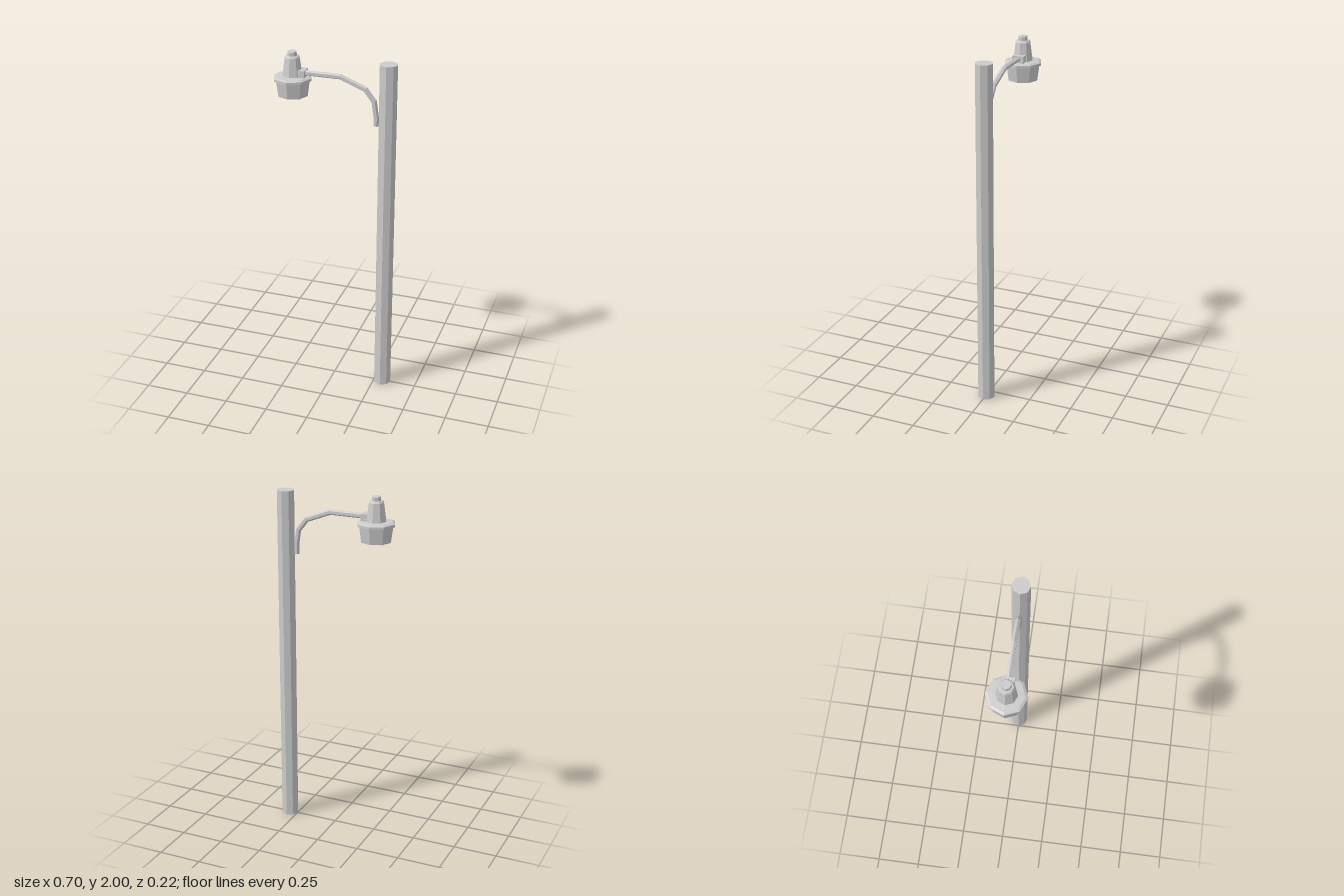
import * as THREE from 'three';

const material = new THREE.MeshStandardMaterial({ color: 0xcccccc, flatShading: true, side: THREE.DoubleSide });
const SIDES = 8;
const LAMP_X = -0.241;

function addMesh(parent, name, geometry, x = 0, y = 0) {
  const mesh = new THREE.Mesh(geometry, material);
  mesh.name = name;
  mesh.position.set(x, y, 0);
  parent.add(mesh);
}

// Eight-sided turned part from [radius, height] pairs, bottom to top
function turned(profile) {
  return new THREE.LatheGeometry(profile.map(([r, y]) => new THREE.Vector2(r, y)), SIDES);
}

// Mitred polygonal bar along a path in the xy plane, with flat ends
function bar(path, radius, sides) {
  const points = path.map(([x, y]) => new THREE.Vector2(x, y));
  const last = points.length - 1;
  const positions = [];
  const index = [];
  points.forEach((p, i) => {
    const before = points[Math.max(i, 1)].clone().sub(points[Math.max(i, 1) - 1]).normalize();
    const k = Math.min(i, last - 1);
    const after = points[k + 1].clone().sub(points[k]).normalize();
    const t = before.clone().add(after).normalize();
    const stretch = radius / t.dot(after);
    for (let j = 0; j < sides; j++) {
      const a = (j / sides) * Math.PI * 2;
      const c = Math.cos(a) * stretch;
      positions.push(p.x - t.y * c, p.y + t.x * c, Math.sin(a) * radius);
      if (i < last) {
        const q = i * sides + j;
        const r = i * sides + ((j + 1) % sides);
        index.push(q, r, r + sides, q, r + sides, q + sides);
      }
    }
  });
  const end = last * sides;
  for (let j = 1; j < sides - 1; j++) {
    index.push(0, j + 1, j, end, end + j, end + j + 1);
  }
  const geometry = new THREE.BufferGeometry();
  geometry.setAttribute('position', new THREE.Float32BufferAttribute(positions, 3));
  geometry.setIndex(index);
  geometry.computeVertexNormals();
  return geometry;
}

export function createModel() {
  const model = new THREE.Group();
  model.name = 'streetLamp';

  // Post: capped on top, open at the foot
  addMesh(model, 'post', turned([[0.05, 0], [0.05, 1.985], [0, 1.985]]), 0.3);

  // Curved arm from the post to the lamp
  addMesh(model, 'arm', bar([
    [-0.18, 1.886], [0.032, 1.886], [0.173, 1.831],
    [0.222, 1.768], [0.235, 1.682], [0.235, 1.63],
  ], 0.0155, 6));

  // Lamp head
  const lamp = new THREE.Group();
  lamp.name = 'lampHead';
  lamp.position.x = LAMP_X;
  model.add(lamp);
  addMesh(lamp, 'shade', turned([[0, 1.753], [0.086, 1.753], [0.099, 1.845]]));
  addMesh(lamp, 'brim', turned([[0, 1.842], [0.109, 1.842], [0.109, 1.856], [0.095, 1.863], [0, 1.869]]));
  addMesh(lamp, 'housing', turned([[0.058, 1.862], [0.043, 1.967], [0.036, 1.976], [0, 1.976]]));
  addMesh(lamp, 'cap', turned([[0.026, 1.97], [0.026, 1.995], [0.024, 2], [0, 2]]));
  addMesh(lamp, 'armSocket', new THREE.BoxGeometry(0.058, 0.042, 0.066), 0.049, 1.882);

  return model;
}
